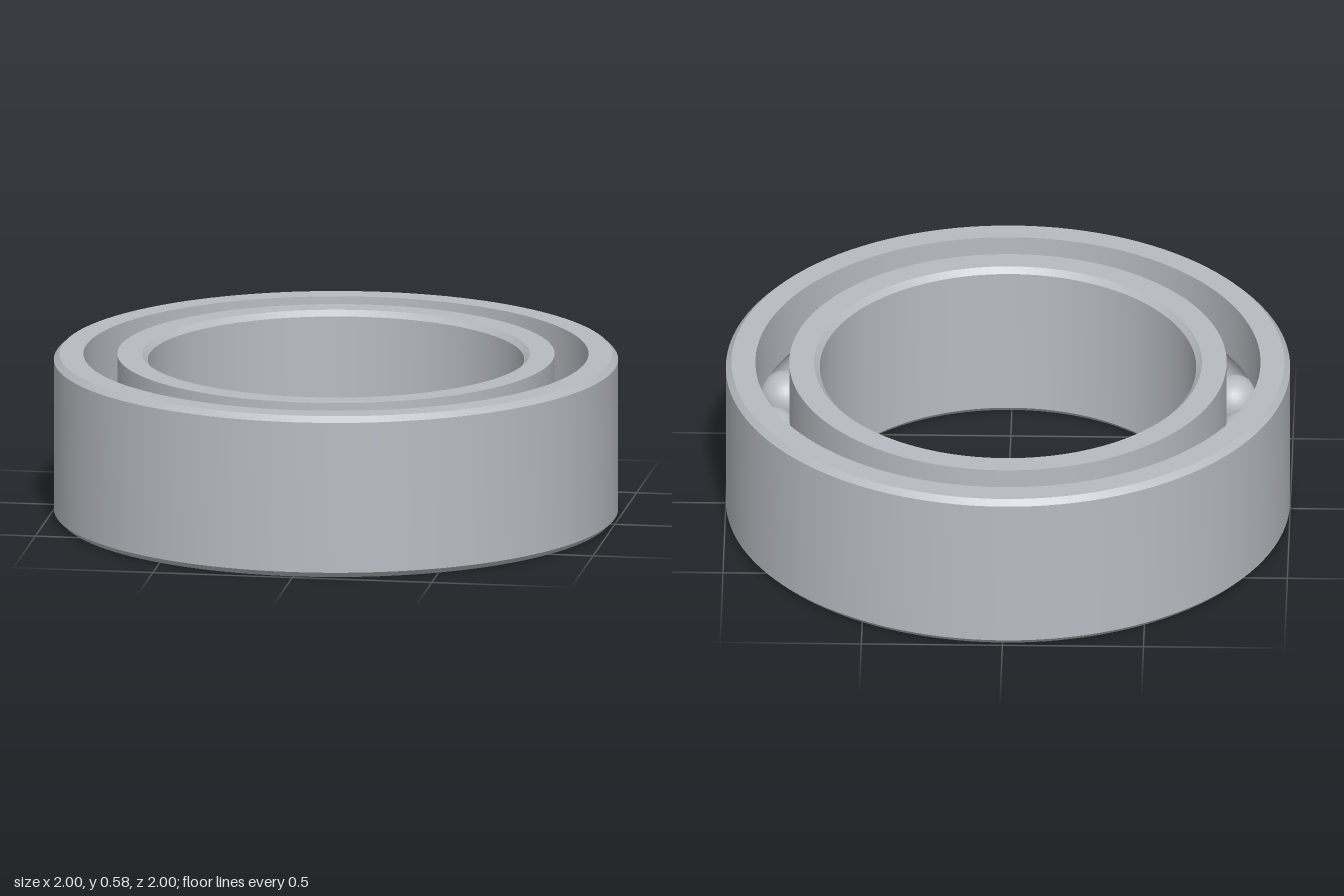
import * as THREE from 'three';
import { toCreasedNormals } from 'three/addons/utils/BufferGeometryUtils.js';

const HEIGHT = 0.585;
const MID = HEIGHT / 2;
const PITCH = 0.835;    // radius of the circle of ball centres
const BALL = 0.0925;
const GROOVE = 0.094;
const GAP = 0.06;       // pitch circle to either ring wall
const BEVEL = 0.02;

export function createModel() {
  const group = new THREE.Group();
  const steel = new THREE.MeshStandardMaterial({ color: 0xb8bcc2 });
  steel.name = 'steel';

  // Points along the round ball groove, between two angles
  const groove = (from, to, steps = 14) =>
    Array.from({ length: steps + 1 }, (_, i) => {
      const a = from + (to - from) * i / steps;
      return [PITCH + GROOVE * Math.cos(a), MID + GROOVE * Math.sin(a)];
    });

  // Revolved ring with crisp edges from a closed profile
  const addRing = (name, profile) => {
    const points = [...profile, profile[0]].map(([r, y]) => new THREE.Vector2(r, y));
    const geometry = toCreasedNormals(new THREE.LatheGeometry(points, 120), 0.4);
    const ring = new THREE.Mesh(geometry, steel);
    ring.name = name;
    group.add(ring);
  };

  const half = Math.acos(GAP / GROOVE);
  const outerWall = PITCH + GAP;
  const innerWall = PITCH - GAP;
  const bore = 0.667;

  addRing('outerRing', [
    [1 - BEVEL, 0], [1, BEVEL], [1, HEIGHT - BEVEL], [1 - BEVEL, HEIGHT],
    [outerWall, HEIGHT], ...groove(half, -half), [outerWall, 0],
  ]);

  addRing('innerRing', [
    [bore + BEVEL, 0], [innerWall, 0],
    ...groove(Math.PI + half, Math.PI - half),
    [innerWall, HEIGHT], [bore + BEVEL, HEIGHT],
    [bore, HEIGHT - BEVEL], [bore, BEVEL],
  ]);

  // Twenty balls spaced evenly around the groove
  const balls = new THREE.Group();
  balls.name = 'balls';
  const ballGeometry = new THREE.SphereGeometry(BALL, 32, 20);
  const count = 20;
  for (let i = 0; i < count; i++) {
    const a = i / count * Math.PI * 2;
    const ball = new THREE.Mesh(ballGeometry, steel);
    ball.name = 'ball';
    ball.position.set(PITCH * Math.cos(a), MID, PITCH * Math.sin(a));
    balls.add(ball);
  }
  group.add(balls);

  return group;
}
